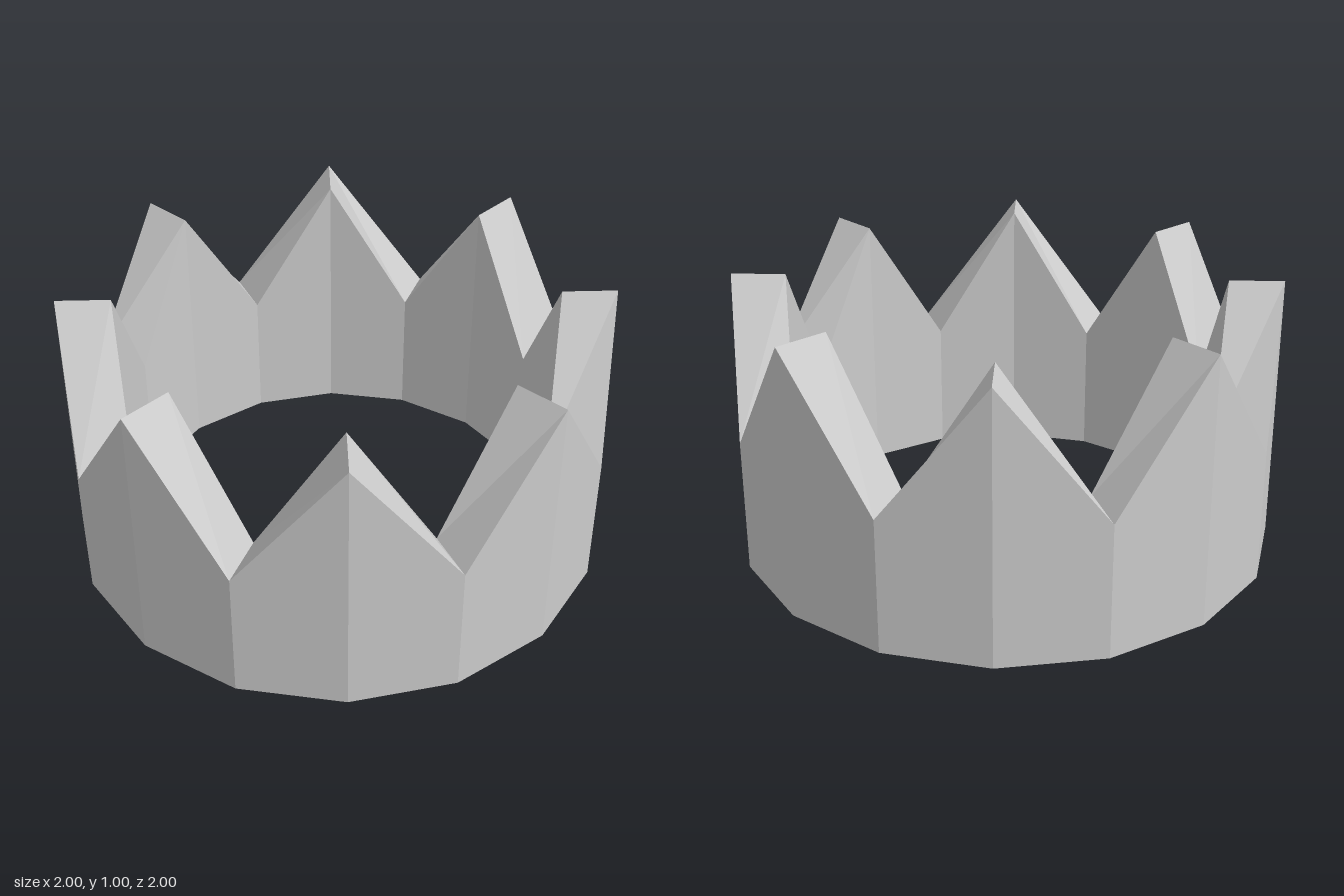
import * as THREE from 'three';

const SIDES = 16;
const OUTER = 1, INNER = 0.8;
const VALLEY = 0.5, PEAK = 1;

export function createModel() {
  const group = new THREE.Group();
  group.name = 'crown';

  // Closed wall section: outer face, top rim, inner face, underside
  const section = [
    [OUTER, 0], [OUTER, VALLEY], [INNER, VALLEY], [INNER, 0], [OUTER, 0],
  ].map(([r, y]) => new THREE.Vector2(r, y));
  const ring = new THREE.LatheGeometry(section, SIDES);

  // Raise the rim at every second corner to form eight points
  const pos = ring.attributes.position;
  for (let i = 0; i < pos.count; i++) {
    const corner = Math.floor(i / section.length);
    if (corner % 2 === 1 && pos.getY(i) > 0) pos.setY(i, PEAK);
  }

  // Separate the facets for crisp low-poly shading
  const geometry = ring.toNonIndexed();
  geometry.computeVertexNormals();

  const band = new THREE.Mesh(
    geometry,
    new THREE.MeshStandardMaterial({ color: 0xcccccc, flatShading: true })
  );
  band.name = 'pointedBand';
  group.add(band);
  return group;
}
